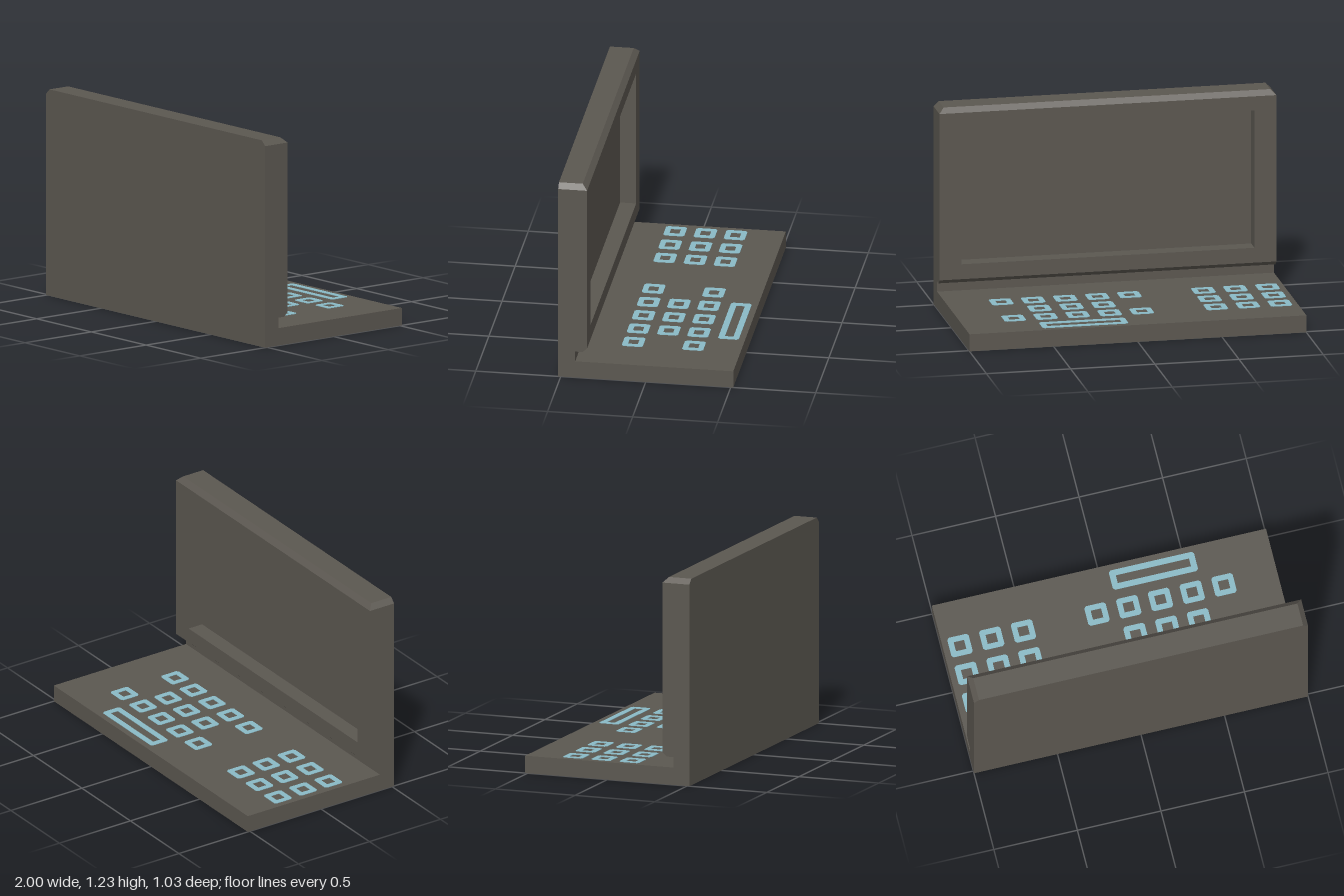
import * as THREE from 'three';

const BACK = -0.515, FRONT = 0.515, DECK = 0.103, FACE = 0.345, DEPTH = 0.44;

export function createModel() {
  const casing = new THREE.MeshStandardMaterial({ color: 0x5b5750, side: THREE.DoubleSide });
  casing.name = 'casing grey';
  const keyBlue = new THREE.MeshStandardMaterial({ color: 0x8abac6 });
  keyBlue.name = 'key blue';

  const model = new THREE.Group();
  model.name = 'laptop';
  const body = new THREE.Group();
  body.name = 'body';
  const keyboard = new THREE.Group();
  keyboard.name = 'keyboard';
  model.add(body, keyboard);

  const add = (parent, name, geometry, material) => {
    const mesh = new THREE.Mesh(geometry, material);
    mesh.name = name;
    parent.add(mesh);
    return mesh;
  };

  // Flat four-cornered sheet, corners counter-clockwise from outside
  const sheet = (name, a, b, c, d) => {
    const g = new THREE.BufferGeometry();
    g.setAttribute('position', new THREE.Float32BufferAttribute([...a, ...b, ...c, ...a, ...c, ...d], 3));
    g.computeVertexNormals();
    add(body, name, g, casing);
  };

  // Run of full-width sheets through [halfWidth, y, z] points
  const strip = (name, points) => {
    for (let i = 1; i < points.length; i++) {
      const [w, y, z] = points[i - 1], [v, t, s] = points[i];
      sheet(name, [w, y, z], [-w, y, z], [-v, t, s], [v, t, s]);
    }
  };

  const outline = pts => new THREE.Shape(pts.map(p => new THREE.Vector2(...p)));
  const rect = (x0, y0, x1, y1) => [[x0, y0], [x1, y0], [x1, y1], [x0, y1]];

  // Keyboard deck, hinge step and lower lid chamfer; the underside stays open
  strip('deckAndHinge', [
    [1, 0, BACK], [1, DECK, BACK], [1, DECK, 0.415], [1, 0.165, 0.415],
    [1, 0.165, 0.372], [1, 0.19, FACE],
  ]);

  // Upper lid chamfer and top edge
  strip('lidTop', [[1, 1.195, FACE], [0.97, 1.225, 0.375], [0.97, 1.225, FRONT]]);

  // L-shaped sides and the small cut corners of the lid
  const profile = outline([
    [FRONT, 0], [FRONT, 1.195], [FACE, 1.195], [FACE, 0.19], [0.372, 0.165],
    [0.415, 0.165], [0.415, DECK], [BACK, DECK], [BACK, 0],
  ]);
  for (const s of [-1, 1]) {
    const side = add(body, s > 0 ? 'leftSide' : 'rightSide', new THREE.ShapeGeometry(profile), casing);
    side.rotation.y = -Math.PI / 2;
    side.position.x = s;
    const corner = [[s, 1.195, FACE], [s * 0.97, 1.225, 0.375], [s * 0.97, 1.225, FRONT], [s, 1.195, FRONT]];
    sheet('lidCorner', ...(s > 0 ? corner : corner.reverse()));
  }

  // Outer lid face
  const lid = outline([[-1, 0], [1, 0], [1, 1.195], [0.97, 1.225], [-0.97, 1.225], [-1, 1.195]]);
  add(body, 'lidOuterFace', new THREE.ShapeGeometry(lid), casing).position.z = FRONT;

  // Screen bezel with its recessed display
  const opening = rect(-0.87, 0.28, 0.87, 1.11);
  const bezel = outline(rect(-1, 0.19, 1, 1.195));
  bezel.holes.push(outline(opening));
  const bezelMesh = add(body, 'screenBezel', new THREE.ShapeGeometry(bezel), casing);
  bezelMesh.rotation.y = Math.PI;
  bezelMesh.position.z = FACE;
  opening.forEach((p, i) => {
    const q = opening[(i + 1) % 4];
    sheet('screenRecessWall', [...p, DEPTH], [...p, FACE], [...q, FACE], [...q, DEPTH]);
  });
  const display = add(body, 'display', new THREE.PlaneGeometry(1.74, 0.83), casing);
  display.rotation.y = Math.PI;
  display.position.set(0, 0.695, DEPTH);

  // Thin ring-shaped key set through the deck, visible from both sides
  const keyGeometry = (w, h, border) => {
    const x = w / 2, y = h / 2, c = 0.012;
    const shape = outline([
      [-x + c, -y], [x - c, -y], [x, -y + c], [x, y - c],
      [x - c, y], [-x + c, y], [-x, y - c], [-x, -y + c],
    ]);
    shape.holes.push(outline(rect(-x + border, -y + border, x - border, y - border)));
    return new THREE.ExtrudeGeometry(shape, { depth: 0.006, bevelEnabled: false }).rotateX(Math.PI / 2);
  };
  const addKey = (name, geometry, x, z) =>
    add(keyboard, name, geometry, keyBlue).position.set(x, DECK + 0.003, z);

  const key = keyGeometry(0.128, 0.124, 0.033);
  const pad = [-0.9, -0.71, -0.52], middle = [0.11, 0.3, 0.49], wide = [-0.08, ...middle, 0.68];
  [[-0.235, wide], [-0.058, middle], [0.12, wide]].forEach(([z, columns]) => {
    for (const x of [...pad, ...columns]) addKey('key', key, x, z);
  });
  addKey('spaceBar', keyGeometry(0.51, 0.122, 0.036), 0.302, -0.417);

  return model;
}
